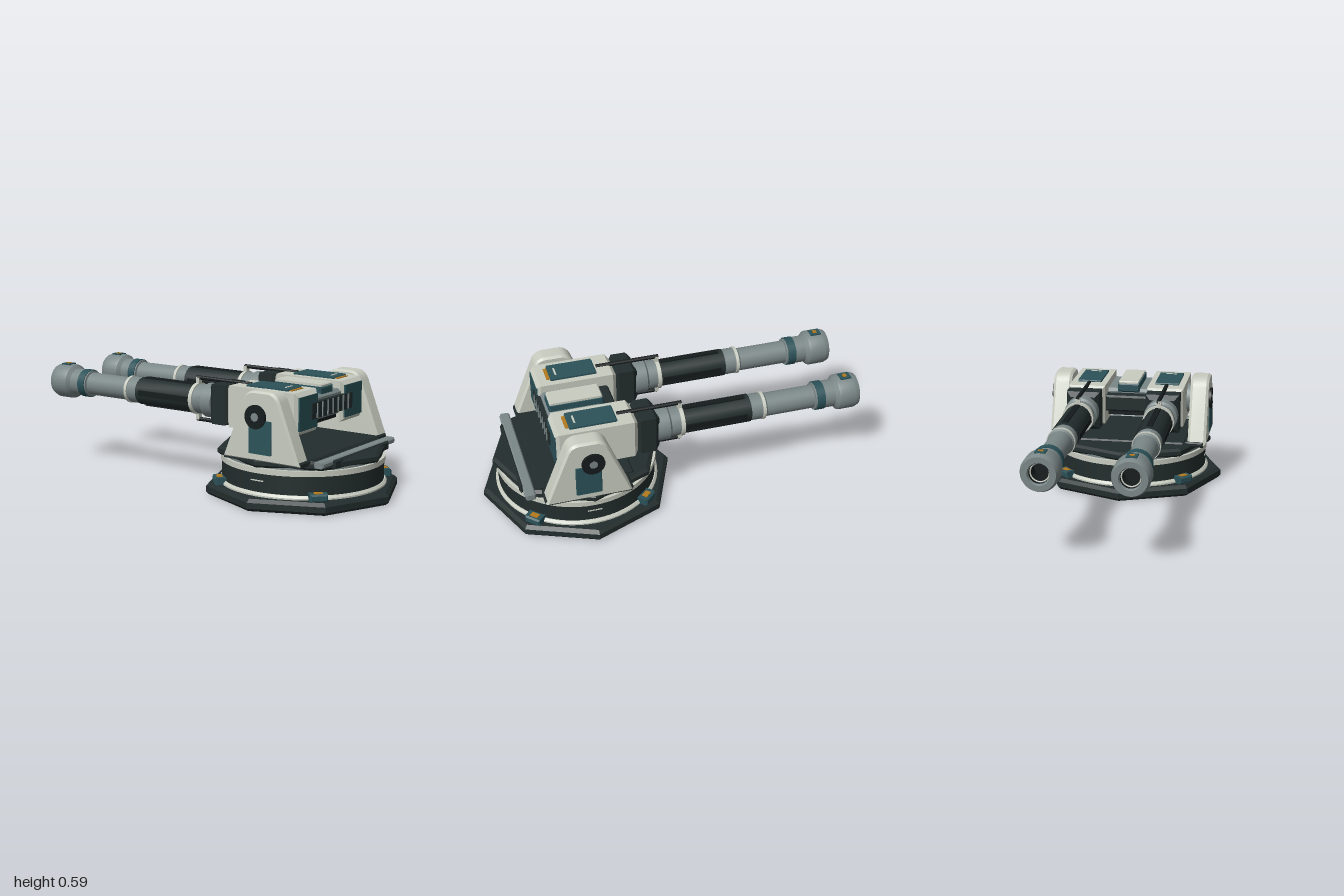
import * as THREE from 'three';
import { toCreasedNormals } from 'three/addons/utils/BufferGeometryUtils.js';

const makeMat = (name, color) => {
  const m = new THREE.MeshStandardMaterial({ color });
  m.name = name;
  return m;
};

export function createModel() {
  const pale = makeMat('pale armour', 0xc8ccc0);
  const grey = makeMat('grey steel', 0x7b8788);
  const dark = makeMat('dark plating', 0x232d2d);
  const black = makeMat('black metal', 0x151b1c);
  const teal = makeMat('teal panel', 0x2b5259);
  const orange = makeMat('orange marking', 0xb57a1e);

  const root = new THREE.Group();
  root.name = 'twinTurret';
  const CZ = 0.485; // turntable centre
  const AX = 0.465; // height of the gun axis

  const add = (parent, name, geo, mat, x = 0, y = 0, z = 0) => {
    const mesh = new THREE.Mesh(geo, mat);
    mesh.name = name;
    mesh.position.set(x, y, z);
    parent.add(mesh);
    return mesh;
  };
  const box = (w, h, d) => new THREE.BoxGeometry(w, h, d);
  // box with 45 degree edges
  const chamferBox = (w, h, d, c) => {
    const a = w / 2 - c, b = h / 2 - c;
    const s = new THREE.Shape([[-a, -b], [a, -b], [a, b], [-a, b]].map(p => new THREE.Vector2(...p)));
    const g = new THREE.ExtrudeGeometry(s, { depth: d - 2 * c, bevelThickness: c, bevelSize: c, bevelSegments: 1 });
    return g.translate(0, 0, c - d / 2);
  };
  // turned part from [radius, height] pairs, listed bottom to top
  const turned = (pts, sides) => toCreasedNormals(
    new THREE.LatheGeometry(pts.map(p => new THREE.Vector2(...p)), sides), 0.4);
  // turned part along the gun axis; pairs are [radius, z] from rear to muzzle
  const alongZ = (pts, sides = 32) => turned(pts.map(([r, z]) => [r, -z]), sides).rotateX(-Math.PI / 2);
  const tubeZ = (r, z0, z1, sides) => alongZ([[0, z0], [r, z0], [r, z1], [0, z1]], sides);

  // Foundation: octagonal plate, drum and rings
  add(root, 'basePlate', turned([[0, 0], [0.495, 0], [0.51, 0.015], [0.51, 0.045], [0.49, 0.062], [0, 0.062]], 8), dark, 0, 0, CZ);
  add(root, 'lowerRing', turned([[0, 0.06], [0.435, 0.06], [0.435, 0.07], [0.425, 0.082], [0, 0.082]], 64), pale, 0, 0, CZ);
  add(root, 'drum', turned([[0, 0.08], [0.42, 0.08], [0.42, 0.18], [0, 0.18]], 64), dark, 0, 0, CZ);
  add(root, 'upperRing', turned([[0, 0.178], [0.426, 0.178], [0.426, 0.206], [0, 0.206]], 64), pale, 0, 0, CZ);
  add(root, 'turntableNeck', turned([[0, 0.2], [0.41, 0.2], [0.41, 0.22], [0, 0.22]], 64), grey, 0, 0, CZ);
  add(root, 'turntable', turned([[0, 0.21], [0.435, 0.21], [0.448, 0.222], [0.448, 0.243], [0.43, 0.255], [0, 0.255]], 8), dark, 0, 0, CZ);
  add(root, 'deckPlate', chamferBox(0.64, 0.02, 0.5, 0.008), dark, 0, 0.255, 0.5);
  add(root, 'frontStep', chamferBox(0.72, 0.03, 0.055, 0.008), grey, 0, 0.247, 0.8);
  add(root, 'frontLip', chamferBox(0.54, 0.045, 0.02, 0.008), dark, 0, 0.238, 0.832);

  // Clamps holding the drum to the base
  for (const sx of [1, -1]) {
    for (const sz of [1, -1]) {
      const clamp = new THREE.Group();
      clamp.name = 'baseClamp';
      clamp.position.set(sx * 0.325, 0, CZ + sz * 0.295);
      clamp.rotation.y = Math.atan2(sx, sz);
      root.add(clamp);
      add(clamp, 'clampBody', chamferBox(0.09, 0.04, 0.07, 0.008), teal, 0, 0.08, 0);
      add(clamp, 'clampMark', box(0.045, 0.004, 0.03), orange, 0, 0.101, 0.005);
    }
    add(root, 'drumMark', box(0.004, 0.006, 0.075), pale, sx * 0.42, 0.14, CZ);
  }

  // Cheek profile, drawn with -z along the shape's x axis
  const cheek = new THREE.Shape();
  cheek.moveTo(-0.727, 0.25);
  cheek.lineTo(-0.298, 0.25);
  cheek.lineTo(-0.415, 0.54);
  cheek.quadraticCurveTo(-0.435, 0.582, -0.475, 0.582);
  cheek.lineTo(-0.555, 0.582);
  cheek.quadraticCurveTo(-0.595, 0.582, -0.612, 0.54);
  const cheekGeo = toCreasedNormals(new THREE.ExtrudeGeometry(cheek, {
    depth: 0.074, bevelThickness: 0.014, bevelSize: 0.01, bevelSegments: 1, curveSegments: 6,
  }).translate(0, 0, -0.037).rotateY(Math.PI / 2), 0.4);

  for (const s of [1, -1]) {
    // Cheek with its outer fittings and trunnion
    const side = new THREE.Group();
    side.name = s > 0 ? 'leftCheek' : 'rightCheek';
    root.add(side);
    add(side, 'cheek', cheekGeo, pale, s * 0.389, 0, 0);
    add(side, 'cheekFoot', chamferBox(0.1, 0.03, 0.46, 0.008), dark, s * 0.375, 0.247, 0.51);
    add(side, 'cheekPanel', chamferBox(0.014, 0.17, 0.135, 0.004), teal, s * 0.44, 0.365, 0.515);
    const disc = (name, r, w, mat, x, n = 32) =>
      add(side, name, new THREE.CylinderGeometry(r, r, w, n).rotateZ(Math.PI / 2), mat, s * x, AX, 0.49);
    disc('pivotDisc', 0.06, 0.022, black, 0.442);
    disc('pivotCap', 0.022, 0.006, grey, 0.453, 8);
    disc('trunnion', 0.082, 0.06, grey, 0.325);

    // Gun housing
    const gun = new THREE.Group();
    gun.name = s > 0 ? 'leftGun' : 'rightGun';
    gun.position.set(s * 0.217, AX, 0);
    root.add(gun);
    add(gun, 'housing', chamferBox(0.2, 0.215, 0.43, 0.02), pale, 0, 0.003, 0.435);
    add(gun, 'frontPanel', box(0.168, 0.17, 0.008), teal, 0, 0.004, 0.65);
    add(gun, 'topHatch', chamferBox(0.132, 0.016, 0.25, 0.005), teal, 0, 0.112, 0.445);
    add(gun, 'hatchHandle', box(0.06, 0.004, 0.01), pale, 0, 0.121, 0.535);
    add(gun, 'hatchMark', box(0.1, 0.008, 0.018), orange, 0, 0.11, 0.579);

    // Barrel, from collar to muzzle
    add(gun, 'collar', chamferBox(0.182, 0.208, 0.13, 0.025), dark, 0, 0.001, 0.165);
    add(gun, 'rearSleeve', alongZ([[0, 0.11], [0.09, 0.11], [0.09, 0.045], [0.078, 0.035], [0.078, -0.02], [0, -0.02]]), grey);
    add(gun, 'rearBand', tubeZ(0.084, -0.015, -0.036), pale);
    add(gun, 'jacket', tubeZ(0.074, -0.03, -0.4, 16), dark);
    for (let i = 0; i < 4; i++) {
      const a = i * Math.PI / 2;
      const rib = add(gun, 'jacketRib', box(0.03, 0.01, 0.33), black, -Math.sin(a) * 0.073, Math.cos(a) * 0.073, -0.21);
      rib.rotation.z = a;
    }
    add(gun, 'midSleeve', alongZ([[0, -0.39], [0.07, -0.39], [0.07, -0.48], [0.062, -0.49], [0.062, -0.76], [0, -0.76]]), grey);
    add(gun, 'midBand', tubeZ(0.074, -0.463, -0.48), pale);
    add(gun, 'tealBand', tubeZ(0.077, -0.765, -0.81), teal);
    add(gun, 'muzzle', alongZ([[0.06, -0.755], [0.073, -0.757], [0.073, -0.868], [0.092, -0.885], [0.095, -0.895],
      [0.095, -0.975], [0.085, -1], [0.056, -1], [0.05, -0.985]]), grey);
    const bore = add(gun, 'bore', alongZ([[0.05, -0.985], [0.05, -0.87], [0, -0.87]]), black);
    bore.material.side = THREE.DoubleSide;
    add(gun, 'boreRing', new THREE.TorusGeometry(0.047, 0.004, 6, 24), pale, 0, 0, -0.965);
    add(gun, 'muzzlePlate', box(0.052, 0.008, 0.06), teal, 0, 0.094, -0.937);
    add(gun, 'muzzleMark', box(0.025, 0.004, 0.02), orange, 0, 0.099, -0.937);

    // Recoil rods above and below the collar
    for (const v of [1, -1]) {
      add(gun, 'recoilRod', tubeZ(0.011, v > 0 ? 0.31 : 0.25, -0.035, 10), black, 0, v * 0.11, 0);
      add(gun, 'rodBracket', box(0.026, 0.04, 0.02), pale, 0, v * 0.092, -0.025);
    }
  }

  // Cross beam between the guns, with grille and sight box
  add(root, 'crossBeam', chamferBox(0.28, 0.13, 0.29, 0.015), grey, 0, 0.472, 0.49);
  add(root, 'beamKeel', box(0.26, 0.03, 0.26), black, 0, 0.4, 0.48);
  add(root, 'rearBlock', chamferBox(0.24, 0.09, 0.08, 0.01), dark, 0, 0.47, 0.31);
  add(root, 'grille', box(0.39, 0.082, 0.03), dark, 0, 0.47, 0.645);
  for (let i = -3; i <= 3; i++) add(root, 'grilleSlat', box(0.006, 0.076, 0.008), grey, i * 0.05, 0.47, 0.662);
  add(root, 'sightBox', chamferBox(0.122, 0.05, 0.29, 0.008), teal, 0, 0.545, 0.48);
  add(root, 'sightLid', chamferBox(0.11, 0.02, 0.28, 0.006), pale, 0, 0.572, 0.48);

  return root;
}
